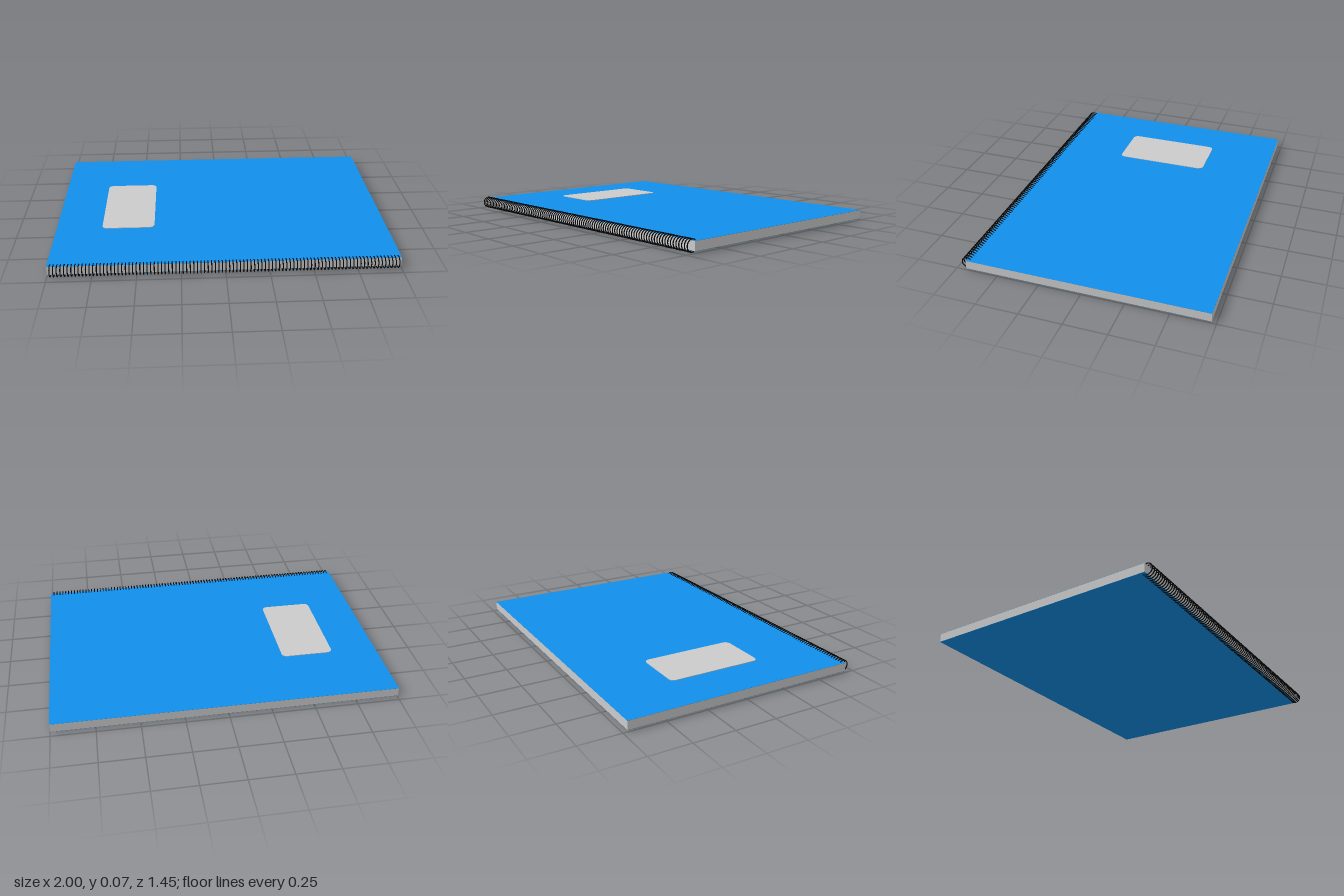
import * as THREE from 'three';

export function createModel() {
  const notebook = new THREE.Group();
  notebook.name = 'notebook';
  const paper = new THREE.MeshStandardMaterial({ color: 0xcccccc });
  const blue = new THREE.MeshStandardMaterial({ color: 0x118fea });
  const black = new THREE.MeshStandardMaterial({ color: 0x050505 });

  const add = (name, geometry, material, x, y, z, parent = notebook) => {
    const mesh = new THREE.Mesh(geometry, material);
    mesh.name = name;
    mesh.position.set(x, y, z);
    parent.add(mesh);
    return mesh;
  };

  // Page block between two thin covers
  const back = -0.725, front = 0.69, bottom = 0.01, top = 0.063, cover = 0.001;
  const depth = front - back, midZ = (front + back) / 2, midY = (bottom + top) / 2;
  add('pages', new THREE.BoxGeometry(2, top - bottom - 2 * cover, depth), paper, 0, midY, midZ);
  const coverGeometry = new THREE.BoxGeometry(2, cover, depth);
  add('frontCover', coverGeometry, blue, 0, top - cover / 2, midZ);
  add('backCover', coverGeometry, blue, 0, bottom + cover / 2, midZ);

  // Rounded label plate on the front cover
  const w = 0.1575, h = 0.29, r = 0.035;
  const outline = new THREE.Shape();
  outline.moveTo(-w + r, -h);
  outline.lineTo(w - r, -h);
  outline.quadraticCurveTo(w, -h, w, -h + r);
  outline.lineTo(w, h - r);
  outline.quadraticCurveTo(w, h, w - r, h);
  outline.lineTo(-w + r, h);
  outline.quadraticCurveTo(-w, h, -w, h - r);
  outline.lineTo(-w, -h + r);
  outline.quadraticCurveTo(-w, -h, -w + r, -h);
  const labelGeometry = new THREE.ExtrudeGeometry(outline, { depth: 0.005, bevelEnabled: false, curveSegments: 8 });
  labelGeometry.rotateX(-Math.PI / 2);
  add('label', labelGeometry, paper, -0.5675, top - 0.001, -0.02);

  // Row of binding rings along the front edge
  const binding = new THREE.Group();
  binding.name = 'binding';
  notebook.add(binding);
  const ringGeometry = new THREE.TorusGeometry(0.0335, 0.003, 8, 32);
  ringGeometry.rotateY(Math.PI / 2);
  const count = 99;
  for (let i = 0; i < count; i++) {
    add('ring', ringGeometry, black, -0.98 + (1.96 * i) / (count - 1), midY, front, binding);
  }
  return notebook;
}
